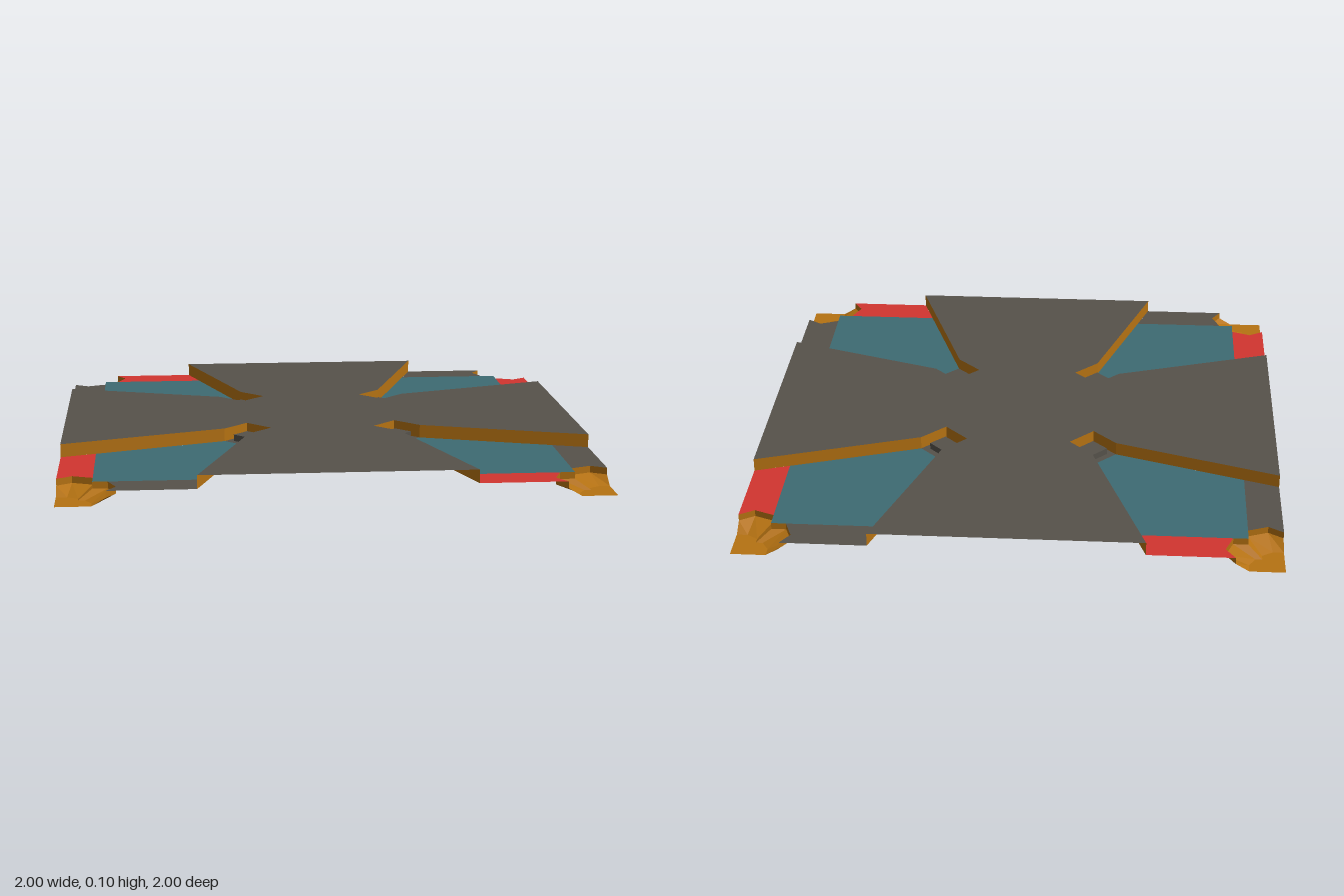
import * as THREE from 'three';

const paint = (name, color) => {
  const m = new THREE.MeshStandardMaterial({ color, side: THREE.DoubleSide, flatShading: true });
  m.name = name;
  return m;
};

const TOP = 0.105, FLOOR = 0.055, LEDGE = 0.03;

// Corner cut-out, listed as [x, z], ending in a small diamond pit
const CUT = [[0.5, 1], [0.29, 0.38], [0.2, 0.29], [0.29, 0.2], [0.38, 0.29], [1, 0.5]];
// Rim of the rocky corner basin and the edge of its flat bottom
const RIM = [[0.82, 1], [0.785, 0.945], [0.815, 0.87], [0.87, 0.87], [0.87, 0.815], [0.945, 0.785], [1, 0.82]];
const BASE = [[0.87, 1], [0.87, 0.96], [0.895, 0.92], [0.92, 0.92], [0.92, 0.895], [0.96, 0.87], [1, 0.87]];

const diamond = (r) => [[0.29 - r, 0.29], [0.29, 0.29 - r], [0.29 + r, 0.29], [0.29, 0.29 + r]];
const swap = (pts) => pts.map(([x, z]) => [z, x]);
const at = (pts, y) => pts.map(([x, z]) => [x, y, z]);

function mesh(name, geometry, material) {
  const m = new THREE.Mesh(geometry, material);
  m.name = name;
  return m;
}

// Level polygon at height y
function flat(pts, y) {
  const shape = new THREE.Shape(pts.map(([x, z]) => new THREE.Vector2(x, -z)));
  return new THREE.ShapeGeometry(shape).rotateX(-Math.PI / 2).translate(0, y, 0);
}

// Faceted surface through a list of cross-sections
function loft(sections) {
  const pos = [];
  for (let s = 0; s < sections.length - 1; s++) {
    const a = sections[s], b = sections[s + 1];
    for (let i = 0; i < a.length - 1; i++) {
      pos.push(...a[i], ...b[i], ...b[i + 1], ...a[i], ...b[i + 1], ...a[i + 1]);
    }
  }
  const g = new THREE.BufferGeometry();
  g.setAttribute('position', new THREE.Float32BufferAttribute(pos, 3));
  g.computeVertexNormals();
  return g;
}

export function createModel() {
  const grey = paint('stone grey', 0x56524b);
  const teal = paint('teal', 0x3e6b73);
  const red = paint('red', 0xd2352f);
  const ochre = paint('ochre', 0xb57212);

  const model = new THREE.Group();
  model.name = 'floorTile';

  // Raised cross-shaped deck
  const outline = [];
  let turn = CUT;
  for (let q = 0; q < 4; q++) {
    outline.push(...turn);
    turn = turn.map(([x, z]) => [z, -x]);
  }
  model.add(mesh('deck', flat(outline, TOP), grey));

  // One sunken corner, repeated by quarter turns
  const pool = [[0.38, 0.29], [0.29, 0.38], [0.456, 0.87], [0.87, 0.87], [0.87, 0.456]];
  const border = [[0.456, 0.87], [0.5, 1], [0.82, 1], [0.785, 0.945], [0.815, 0.87]];
  const post = diamond(0.055);
  const loop = [...post, post[0]];
  for (let q = 0; q < 4; q++) {
    const corner = new THREE.Group();
    corner.name = 'sunkenCorner';
    corner.add(
      mesh('cutWall', loft([at(CUT, TOP), at(CUT, FLOOR)]), ochre),
      mesh('poolFloor', flat(pool, FLOOR), teal),
      mesh('redBorder', flat(border, FLOOR), red),
      mesh('greyBorder', flat(swap(border), FLOOR), grey),
      mesh('pitFloor', flat(diamond(0.09), FLOOR), grey),
      mesh('postSides', loft([at(loop, 0.08), at(loop, FLOOR)]), grey),
      mesh('postTop', flat(post, 0.08), grey),
      mesh('basinSides', loft([at(RIM, FLOOR), at(RIM, LEDGE), at(BASE, 0)]), ochre),
      mesh('basinBottom', flat([...BASE, [1, 1]], 0), ochre)
    );
    corner.rotation.y = q * Math.PI / 2;
    model.add(corner);
  }
  return model;
}
